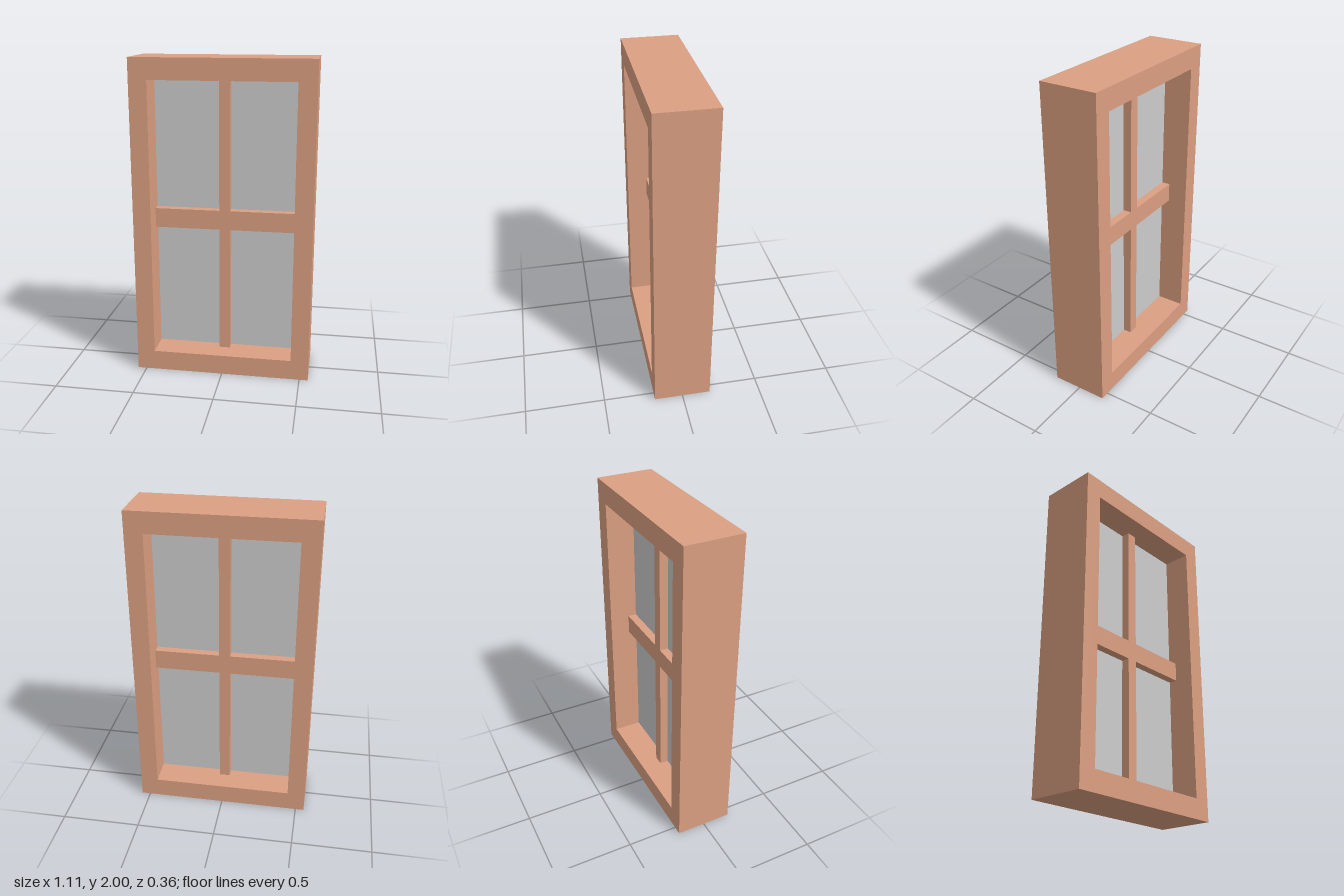
import * as THREE from 'three';

export function createModel() {
  const model = new THREE.Group();
  model.name = 'window';
  const wood = new THREE.MeshStandardMaterial({ color: 0xdb9f81 });
  const glass = new THREE.MeshStandardMaterial({ color: 0xcccccc, side: THREE.DoubleSide });

  const halfWidth = 0.555, height = 2, depth = 0.36;
  const inner = 0.443, bottom = 0.127, top = 1.87;
  const railBottom = 0.937, railTop = 1.06;
  const barHalf = 0.034, barDepth = 0.108;

  function add(name, geometry, material, x, y, z) {
    const mesh = new THREE.Mesh(geometry, material);
    mesh.name = name;
    mesh.position.set(x, y, z);
    model.add(mesh);
  }

  const rectangle = (PathType, x, y0, y1) => new PathType([
    new THREE.Vector2(-x, y0), new THREE.Vector2(x, y0),
    new THREE.Vector2(x, y1), new THREE.Vector2(-x, y1),
  ]);

  // Outer frame with one large opening
  const outline = rectangle(THREE.Shape, halfWidth, 0, height);
  outline.holes.push(rectangle(THREE.Path, inner, bottom, top));
  add('frame', new THREE.ExtrudeGeometry(outline, { depth, bevelEnabled: false }), wood, 0, 0, -depth / 2);

  // Cross rail, with a flush upright bar above and below it
  add('crossRail', new THREE.BoxGeometry(inner * 2, railTop - railBottom, barDepth), wood,
    0, (railBottom + railTop) / 2, 0);

  for (const [level, y0, y1] of [['lower', bottom, railBottom], ['upper', railTop, top]]) {
    const y = (y0 + y1) / 2;
    add(level + 'Bar', new THREE.BoxGeometry(barHalf * 2, y1 - y0, barDepth), wood, 0, y, 0);

    // Glass panes on either side of the bar
    for (const [side, sign] of [['Left', 1], ['Right', -1]]) {
      add(level + side + 'Pane', new THREE.PlaneGeometry(inner - barHalf, y1 - y0), glass,
        sign * (inner + barHalf) / 2, y, 0);
    }
  }
  return model;
}
